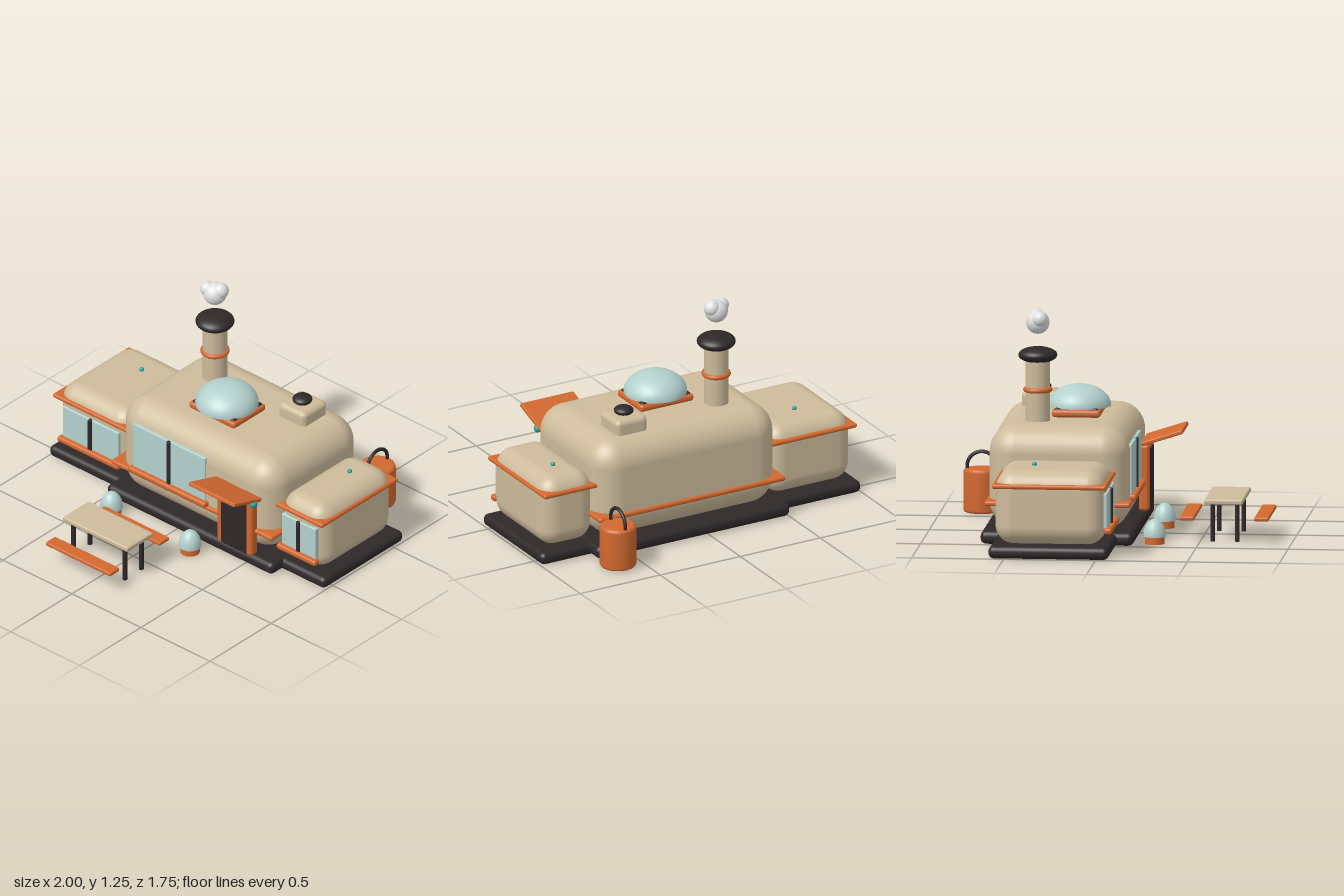
import * as THREE from 'three';
import { RoundedBoxGeometry } from 'three/addons/geometries/RoundedBoxGeometry.js';

const paint = (name, color) => {
  const m = new THREE.MeshStandardMaterial({ color });
  m.name = name;
  return m;
};

export function createModel() {
  const root = new THREE.Group();
  root.name = 'habitat';
  const cream = paint('cream', 0xcdbb9b);
  const orange = paint('orange', 0xd2682f);
  const dark = paint('charcoal', 0x2f2829);
  const glass = paint('glass', 0xb3d0cd);
  const teal = paint('teal', 0x22a79c);
  const white = paint('smoke white', 0xe0e0e0);

  const add = (name, geo, mat, x = 0, y = 0, z = 0, parent = root) => {
    const m = new THREE.Mesh(geo, mat);
    m.name = name;
    m.position.set(x, y, z);
    parent.add(m);
    return m;
  };
  // Rounded box given by its extents on each axis
  const box = (name, mat, [x0, x1], [y0, y1], [z0, z1], r = 0.008, seg = 3) =>
    add(name, new RoundedBoxGeometry(x1 - x0, y1 - y0, z1 - z0, seg, r), mat,
      (x0 + x1) / 2, (y0 + y1) / 2, (z0 + z1) / 2);
  const cyl = (name, mat, r, y0, y1, x, z, seg = 32) =>
    add(name, new THREE.CylinderGeometry(r, r, y1 - y0, seg), mat, x, (y0 + y1) / 2, z);
  const ball = (name, mat, r, x, y, z, squash = 1) => {
    const m = add(name, new THREE.SphereGeometry(r, 32, 20), mat, x, y, z);
    m.scale.y = squash;
    return m;
  };
  // Half ellipsoid with a closed underside
  const dome = (name, mat, r, h, x, y, z) => {
    const g = new THREE.Group();
    g.name = name;
    g.position.set(x, y, z);
    const shell = new THREE.SphereGeometry(r, 36, 14, 0, Math.PI * 2, 0, Math.PI / 2);
    add(name + 'Shell', shell.scale(1, h / r, 1), mat, 0, 0, 0, g);
    add(name + 'Underside', new THREE.CircleGeometry(r, 36).rotateX(Math.PI / 2), mat, 0, 0, 0, g);
    root.add(g);
  };
  // Front window with centre bar and sill; z is the wall face
  const frontWindow = (name, [x0, x1], [y0, y1], z) => {
    const c = (x0 + x1) / 2;
    box(name + 'Glass', glass, [x0, x1], [y0, y1], [z - 0.02, z + 0.009], 0.006);
    box(name + 'Bar', dark, [c - 0.012, c + 0.012], [y0, y1], [z - 0.01, z + 0.019], 0.005);
    box(name + 'Sill', orange, [x0 - 0.018, x1 + 0.018], [y0 - 0.03, y0 + 0.005], [z - 0.01, z + 0.035], 0.014);
  };

  // Main hall
  box('mainBase', dark, [-0.505, 0.7], [0.002, 0.075], [-0.675, 0.16], 0.032, 4);
  box('mainBody', cream, [-0.47, 0.665], [0.07, 0.64], [-0.64, 0.125], 0.15, 8);
  box('mainBand', orange, [-0.485, 0.68], [0.208, 0.236], [-0.655, 0.14], 0.012);
  frontWindow('mainWindow', [-0.33, 0.195], [0.258, 0.535], 0.126);

  // Side wings
  const wings = [
    { name: 'right', base: [-1, -0.43], body: [-0.97, -0.447], win: [-0.91, -0.505], cap: -0.705 },
    { name: 'left', base: [0.6, 1], body: [0.64, 0.965], win: [0.678, 0.925], cap: 0.803 },
  ];
  for (const w of wings) {
    box(w.name + 'WingBase', dark, w.base, [0, 0.068], [-0.585, 0.07], 0.03, 4);
    box(w.name + 'WingBody', cream, w.body, [0.07, 0.472], [-0.555, 0.045], 0.1, 8);
    box(w.name + 'WingBand', orange, [w.body[0] - 0.012, w.body[1] + 0.008], [0.38, 0.406], [-0.567, 0.057], 0.012);
    frontWindow(w.name + 'WingWindow', w.win, [0.16, 0.355], 0.047);
    ball(w.name + 'WingBeacon', teal, 0.013, w.cap, 0.478, -0.36);
  }

  // Door, awning and lamp
  box('doorFrame', orange, [0.305, 0.56], [0.07, 0.435], [0.11, 0.168], 0.02);
  box('door', dark, [0.34, 0.528], [0.075, 0.412], [0.14, 0.173], 0.012);
  const awning = box('awning', orange, [0.268, 0.6], [0.467, 0.489], [0.122, 0.358], 0.006);
  awning.rotation.x = -0.31;
  ball('lamp', teal, 0.023, 0.586, 0.437, 0.18);

  // Chimney with smoke
  cyl('chimney', cream, 0.067, 0.58, 0.98, -0.2, -0.39);
  add('chimneyRing', new THREE.TorusGeometry(0.066, 0.014, 12, 36).rotateX(Math.PI / 2), orange, -0.2, 0.81, -0.39);
  ball('chimneyCap', dark, 0.106, -0.2, 1, -0.39, 0.42);
  for (const [r, x, y, z] of [
    [0.064, -0.2, 1.178, -0.39], [0.042, -0.24, 1.2, -0.375], [0.045, -0.168, 1.205, -0.4],
  ]) add('smokePuff', new THREE.IcosahedronGeometry(r, 3), white, x, y, z);

  // Skylight dome
  box('skylightFrame', orange, [-0.102, 0.232], [0.64, 0.682], [-0.325, -0.06], 0.018);
  box('skylightSeat', dark, [-0.088, 0.218], [0.66, 0.69], [-0.311, -0.074], 0.012);
  dome('skylight', glass, 0.173, 0.118, 0.065, 0.685, -0.19);

  // Roof vent
  box('vent', cream, [0.303, 0.498], [0.6, 0.72], [-0.527, -0.33], 0.03, 4);
  ball('ventCap', dark, 0.054, 0.4, 0.737, -0.428, 0.48);

  // Fuel tank with carrying handle
  const tank = [[0, 0], [0.085, 0], [0.095, 0.004], [0.1, 0.016], [0.1, 0.222], [0.095, 0.235], [0.085, 0.24], [0, 0.24]];
  add('tank', new THREE.LatheGeometry(tank.map(([r, y]) => new THREE.Vector2(r, y)), 36), orange, 0.635, 0.004, -0.775);
  add('tankHandle', new THREE.TorusGeometry(0.08, 0.01, 10, 28, Math.PI).rotateY(Math.PI / 2), dark, 0.635, 0.255, -0.775);
  for (const s of [-1, 1]) cyl('handlePost', dark, 0.01, 0.235, 0.256, 0.635, -0.775 + s * 0.08, 10);

  // Picnic table and benches
  box('tableTop', cream, [-0.305, 0.165], [0.206, 0.236], [0.523, 0.735], 0.01);
  for (const x of [-0.255, 0.118])
    for (const z of [0.567, 0.7]) cyl('tableLeg', dark, 0.013, 0, 0.21, x, z, 16);
  for (const z of [0.43, 0.835])
    box('bench', orange, [-0.305, 0.165], [0.118, 0.141], [z - 0.04, z + 0.04], 0.009);

  // Garden pods
  for (const x of [-0.37, 0.2]) {
    cyl('podBase', orange, 0.053, 0, 0.042, x, 0.262);
    dome('pod', glass, 0.062, 0.096, x, 0.04, 0.262);
  }
  return root;
}
